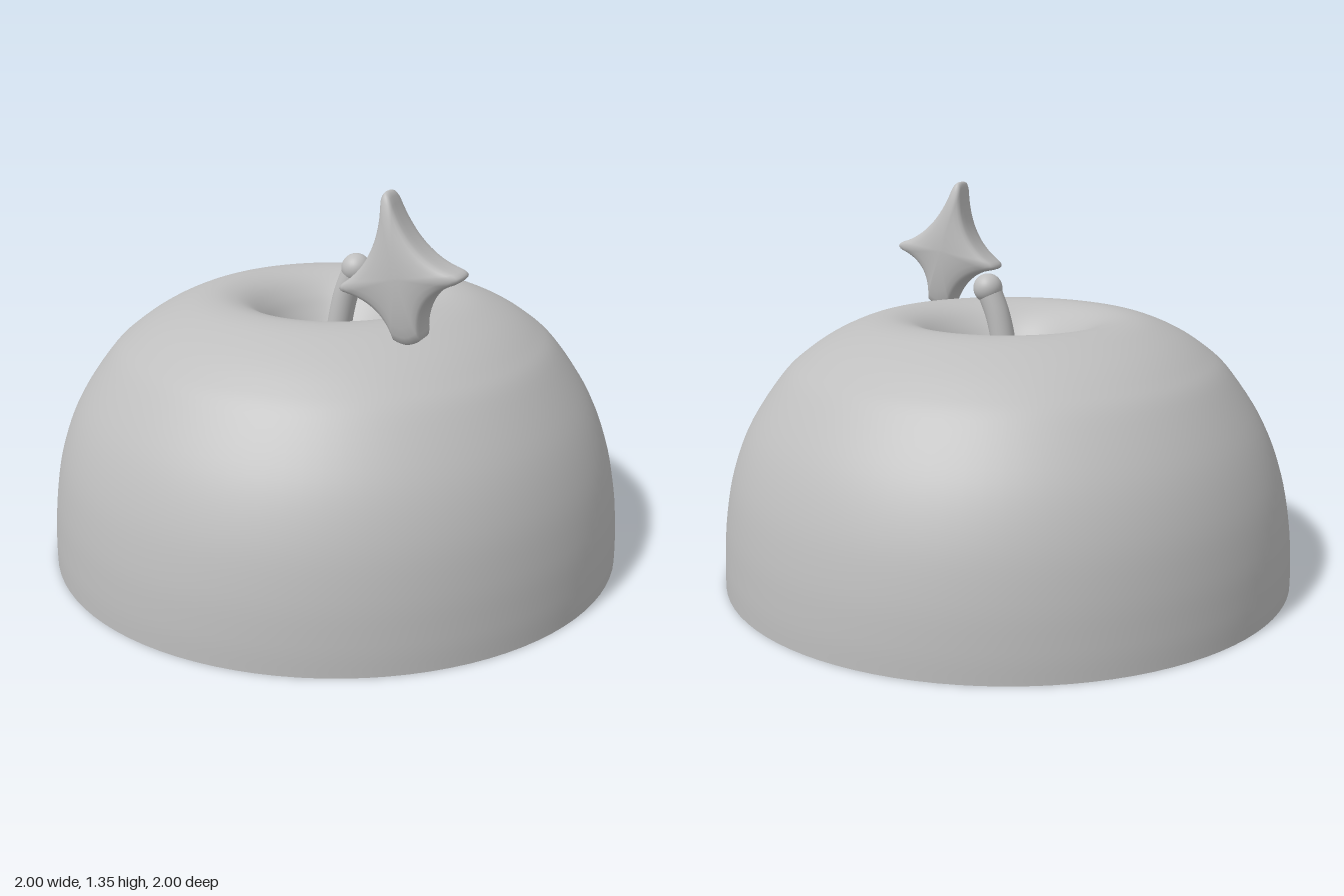
import * as THREE from 'three';
import { mergeVertices } from 'three/addons/utils/BufferGeometryUtils.js';

const V2 = (x, y) => new THREE.Vector2(x, y);
const grey = new THREE.MeshStandardMaterial({ color: 0xbebebe });
grey.name = 'plain grey';

function addMesh(parent, name, geometry) {
  const mesh = new THREE.Mesh(geometry, grey);
  mesh.name = name;
  parent.add(mesh);
  return mesh;
}

// Half-apple dome profile, from the rim up and over into the dimple
const DOME = [
  [1, 0], [0.998, 0.1], [0.984, 0.24], [0.947, 0.4], [0.878, 0.56], [0.768, 0.72], [0.69, 0.793],
  [0.6, 0.853], [0.5, 0.897], [0.42, 0.912], [0.355, 0.905], [0.3, 0.881], [0.25, 0.838],
  [0.21, 0.787], [0.17, 0.737], [0.12, 0.7], [0.06, 0.684], [0, 0.68],
];
const WALL = 0.042;

function domeProfiles() {
  const curve = new THREE.SplineCurve(DOME.map(([x, y]) => V2(x, y)));
  const outer = curve.getPoints(84);
  const last = outer.length - 1;
  // Inner surface: the outer one moved along its normal by the wall thickness
  const inner = outer.map((p, i) => {
    const t = outer[Math.min(i + 1, last)].clone().sub(outer[Math.max(i - 1, 0)]).normalize();
    return V2(Math.max(p.x - t.y * WALL, 0), p.y + t.x * WALL);
  });
  inner[0].set(1 - WALL, 0);
  inner[last].x = 0;
  return { outer, inner: inner.reverse() };
}

// Revolved skin whose shoulders swell gently towards the four diagonals
function skinGeometry(profile) {
  const lathe = new THREE.LatheGeometry(profile, 96);
  lathe.deleteAttribute('uv');
  lathe.deleteAttribute('normal');
  const geometry = mergeVertices(lathe, 1e-5);
  const p = geometry.attributes.position;
  for (let i = 0; i < p.count; i++) {
    const x = p.getX(i), y = p.getY(i), z = p.getZ(i);
    const lobe = (1 - Math.cos(4 * Math.atan2(z, x))) / 2;
    const shoulder = THREE.MathUtils.smoothstep(y, 0.1, 0.75) * THREE.MathUtils.smoothstep(Math.hypot(x, z), 0.35, 0.7);
    const swell = 1 + 0.025 * lobe * shoulder;
    p.setXYZ(i, x * swell, y, z * swell);
  }
  geometry.computeVertexNormals();
  return geometry;
}

// Four-pointed leaf: concave outline, cushioned faces, thinner at the tips
function leafGeometry() {
  const centre = V2(0.39, 1.09);
  const tips = [[0.59, 1.1], [0.335, 1.345], [0.185, 1.03], [0.42, 0.872]].map(([x, y]) => V2(x, y).sub(centre));
  const halfTip = [0.016, 0.016, 0.016, 0.045];
  const fullness = [0.48, 0.48, 0.65, 0.5];
  const edge = (i, side) => {
    const d = tips[i].clone().normalize();
    return tips[i].clone().addScaledVector(d, -0.02).addScaledVector(V2(-d.y, d.x), side * halfTip[i]);
  };
  const outline = [];
  for (let i = 0; i < 4; i++) {
    const n = (i + 1) % 4;
    const tip = new THREE.QuadraticBezierCurve(edge(i, -1), tips[i].clone().multiplyScalar(1.07), edge(i, 1));
    const control = tips[i].clone().add(tips[n]).multiplyScalar(0.5 * fullness[i]);
    const side = new THREE.QuadraticBezierCurve(edge(i, 1), control, edge(n, -1));
    outline.push(...tip.getPoints(6).slice(0, -1), ...side.getPoints(16).slice(0, -1));
  }
  // Rings [scale, depth] from the front centre, round the edge, to the back centre
  const half = [[0.001, 1], [0.25, 0.995], [0.5, 0.97], [0.72, 0.92], [0.87, 0.85], [0.95, 0.76], [0.99, 0.62], [1.005, 0.3]];
  const rings = [...half, ...half.map(([s, d]) => [s, -d]).reverse()];
  const positions = [];
  const index = [];
  const n = outline.length;
  rings.forEach(([scale, depth], r) => {
    outline.forEach((p, j) => {
      const x = p.x * scale, y = p.y * scale;
      const thick = 0.077 - 0.021 * (x * x + y * y) / 0.0576;
      positions.push(centre.x + x, centre.y + y, 0.342 + depth * thick);
      if (r === rings.length - 1) return;
      const a = r * n + j, b = a + n, k = (j + 1) % n;
      const c = (r + 1) * n + k, d = r * n + k;
      index.push(a, b, c, a, c, d);
    });
  });
  const geometry = new THREE.BufferGeometry();
  geometry.setAttribute('position', new THREE.Float32BufferAttribute(positions, 3));
  geometry.setIndex(index);
  geometry.computeVertexNormals();
  return geometry;
}

export function createModel() {
  const model = new THREE.Group();
  model.name = 'appleLid';

  // Hollow dome with a flat rim underneath
  const dome = new THREE.Group();
  dome.name = 'dome';
  model.add(dome);
  const { outer, inner } = domeProfiles();
  addMesh(dome, 'outerSkin', skinGeometry(outer));
  addMesh(dome, 'innerSkin', skinGeometry(inner));
  addMesh(dome, 'rim', new THREE.RingGeometry(1 - WALL, 1, 96).rotateX(Math.PI / 2));

  // Curved stem with a rounded knob
  const path = new THREE.CatmullRomCurve3(
    [[0, 0.66], [0.004, 0.72], [0.014, 0.8], [0.038, 0.91], [0.075, 1.005]].map(([x, y]) => new THREE.Vector3(x, y, 0)));
  addMesh(model, 'stem', new THREE.TubeGeometry(path, 24, 0.043, 24));
  addMesh(model, 'stemKnob', new THREE.SphereGeometry(0.051, 32, 20)).position.set(0.076, 1.004, 0);

  addMesh(model, 'leaf', leafGeometry());
  return model;
}
